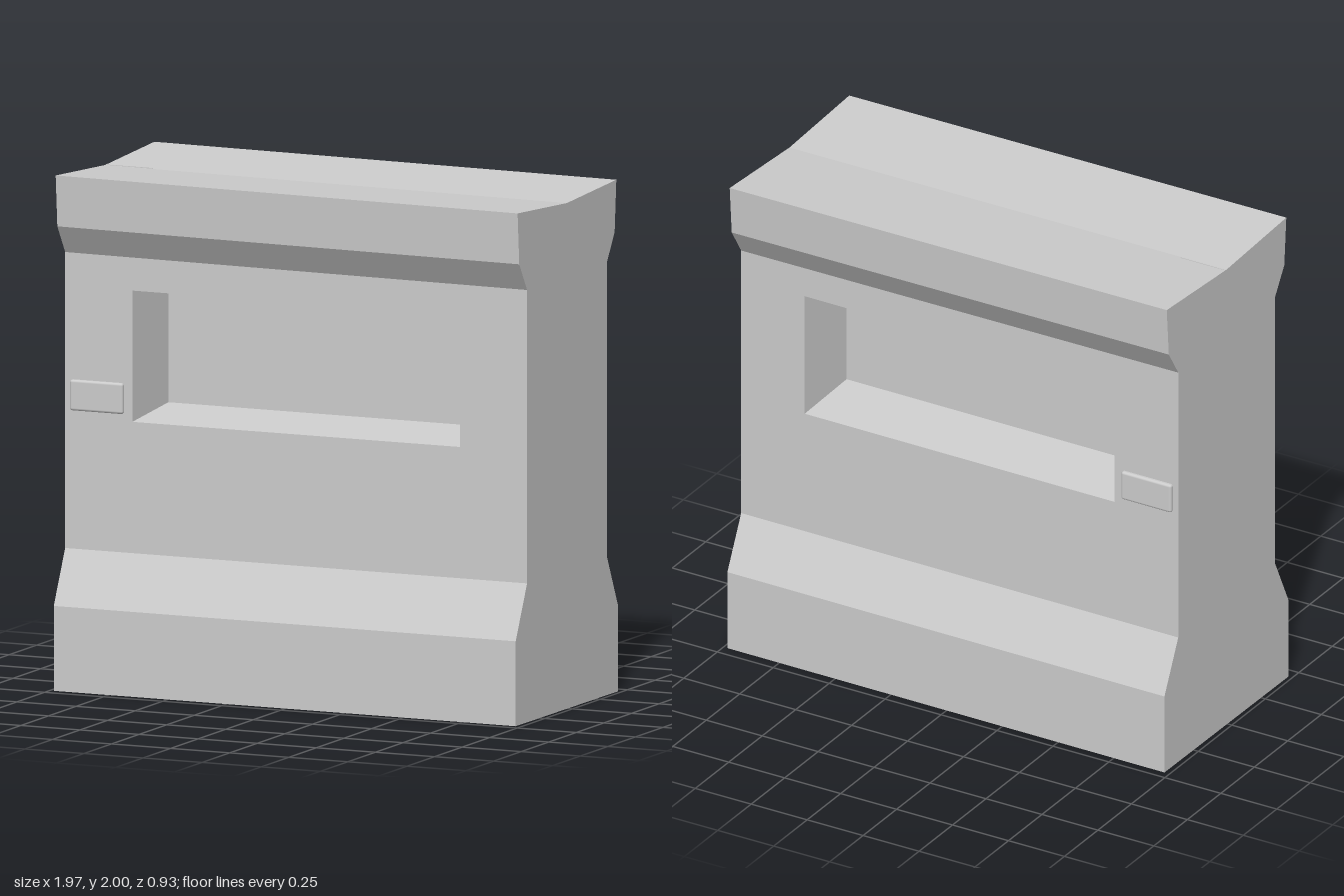
import * as THREE from 'three';
import { RoundedBoxGeometry } from 'three/addons/geometries/RoundedBoxGeometry.js';

const HALF = 0.98; // half length of the block

// Front half of the cross-section as [z, y], bottom to top
const PROFILE = [[0.459, 0], [0.459, 0.33], [0.357, 0.54], [0.357, 1.69], [0.427, 1.8], [0.442, 2], [0, 1.975]];

// The upper ledge sinks slightly towards +x
function sag(geometry) {
  const p = geometry.attributes.position;
  for (let i = 0; i < p.count; i++) {
    if (p.getY(i) > 1.6) p.setY(i, p.getY(i) - 0.005 * (p.getX(i) / HALF + 1));
  }
  geometry.computeVertexNormals();
  return geometry;
}

// Flat faces from quads with counter-clockwise corners
function quads(list) {
  const points = [];
  for (const [a, b, c, d] of list) points.push(...a, ...b, ...c, ...a, ...c, ...d);
  const g = new THREE.BufferGeometry();
  g.setAttribute('position', new THREE.Float32BufferAttribute(points, 3));
  return g;
}

const rect = (x0, x1, y0, y1, z) => [[x0, y0, z], [x1, y0, z], [x1, y1, z], [x0, y1, z]];

// Quads joining an outer rectangle to an inner one
const ring = (outer, inner) => outer.map((p, i) => {
  const j = (i + 1) % 4;
  return [p, outer[j], inner[j], inner[i]];
});

export function createModel() {
  const model = new THREE.Group();
  const grey = new THREE.MeshStandardMaterial({ color: 0xcccccc });
  grey.name = 'grey';

  const add = (name, geometry, parent) => {
    const mesh = new THREE.Mesh(geometry, grey);
    mesh.name = name;
    parent.add(mesh);
    return mesh;
  };

  const bands = ['plinth', 'plinthSlope', 'wall', 'ledgeUnderside', 'ledge', 'top'];
  const waist = PROFILE[2][0];
  const opening = rect(-0.695, 0.695, 1.05, 1.56, waist);
  const recessBack = rect(-0.665, 0.665, 1.09, 1.53, waist - 0.26);

  for (const side of [1, -1]) {
    const face = new THREE.Group();
    face.name = side > 0 ? 'frontFace' : 'backFace';
    model.add(face);
    // Turn points half way round for the back
    const turn = (list) => list.map((q) => q.map(([x, y, z]) => [x * side, y, z * side]));

    // Horizontal bands following the profile
    bands.forEach((name, i) => {
      const [z0, y0] = PROFILE[i];
      const [z1, y1] = PROFILE[i + 1];
      const band = [[-HALF, y0, z0], [HALF, y0, z0], [HALF, y1, z1], [-HALF, y1, z1]];
      // The wall leaves a hole for the recess
      const list = name === 'wall' ? ring(band, opening) : [band];
      add(name, sag(quads(turn(list))), face);
    });

    // Deep recess with slightly tapering sides
    add('recess', sag(quads(turn([...ring(opening, recessBack), recessBack]))), face);

    // Small raised plate beside the recess, at the same end on both faces
    const plate = add('sidePlate', new RoundedBoxGeometry(0.225, 0.12, 0.03, 2, 0.01), face);
    plate.position.set(-0.843, 1.138, side * waist);
  }

  // End walls
  const outline = [...PROFILE, ...PROFILE.slice(0, -1).reverse().map(([z, y]) => [-z, y])];
  const endShape = new THREE.Shape(outline.map(([z, y]) => new THREE.Vector2(z, y)));
  for (const side of [1, -1]) {
    const end = new THREE.ShapeGeometry(endShape);
    end.rotateY(side * Math.PI / 2).translate(side * HALF, 0, 0);
    add(side > 0 ? 'leftEnd' : 'rightEnd', sag(end), model);
  }

  // Underside
  const z = PROFILE[0][0];
  add('underside', sag(quads([[[-HALF, 0, -z], [HALF, 0, -z], [HALF, 0, z], [-HALF, 0, z]]])), model);

  // Fine seam along the valley of the top, near one end
  const seam = add('topSeam', new THREE.BoxGeometry(0.2, 0.006, 0.006), model);
  seam.position.set(-0.88, 1.974, -0.006);

  // The block stands slightly turned
  model.rotation.y = -0.006;
  return model;
}
